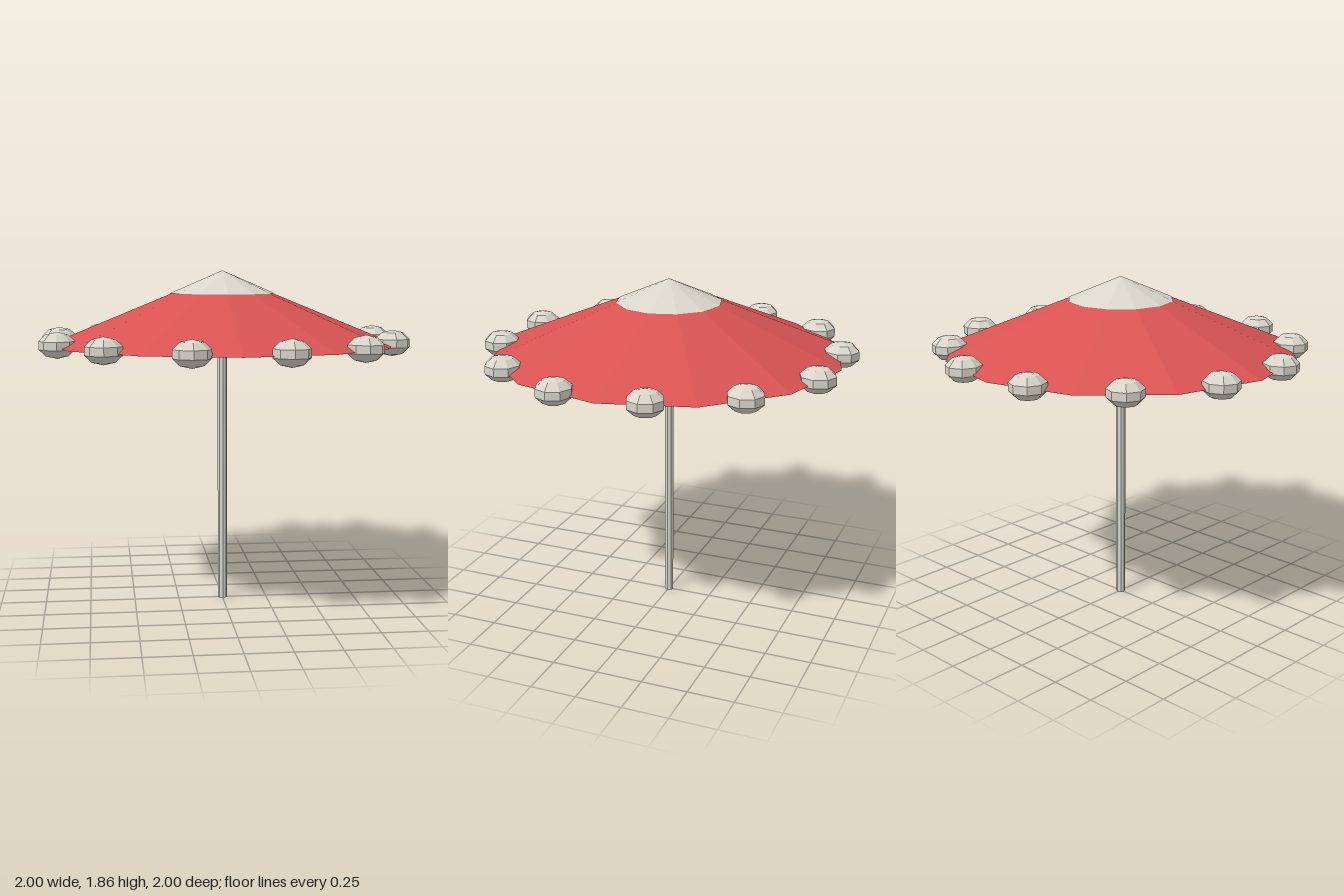
import * as THREE from 'three';

const mat = (name, color) => {
  const m = new THREE.MeshStandardMaterial({ color, flatShading: true });
  m.name = name;
  return m;
};

export function createModel() {
  const red = mat('red fabric', 0xd95353);
  const cream = mat('warm grey', 0xd9d5ca);
  const group = new THREE.Group();
  group.name = 'parasol';

  const add = (name, geometry, material, x, y, z) => {
    const mesh = new THREE.Mesh(geometry, material);
    mesh.name = name;
    mesh.position.set(x, y, z);
    group.add(mesh);
    return mesh;
  };

  // Pole
  add('pole', new THREE.CylinderGeometry(0.026, 0.026, 1.46, 8), cream, 0, 0.73, 0);

  // Twelve-sided canopy with a flat underside
  add('canopy', new THREE.ConeGeometry(0.963, 0.395, 12), red, 0, 1.45 + 0.395 / 2, 0);

  // Pale cap over the peak
  add('cap', new THREE.ConeGeometry(0.29, 0.125, 12), cream, 0, 1.73 + 0.125 / 2, 0);

  // Squashed bobbles at the middle of each rim edge
  const bobble = new THREE.SphereGeometry(0.1015, 8, 5).scale(1, 0.7, 1);
  for (let i = 0; i < 12; i++) {
    const a = ((i + 0.5) / 12) * Math.PI * 2;
    add('bobble', bobble, cream, Math.sin(a) * 0.935, 1.465, Math.cos(a) * 0.935);
  }

  return group;
}
